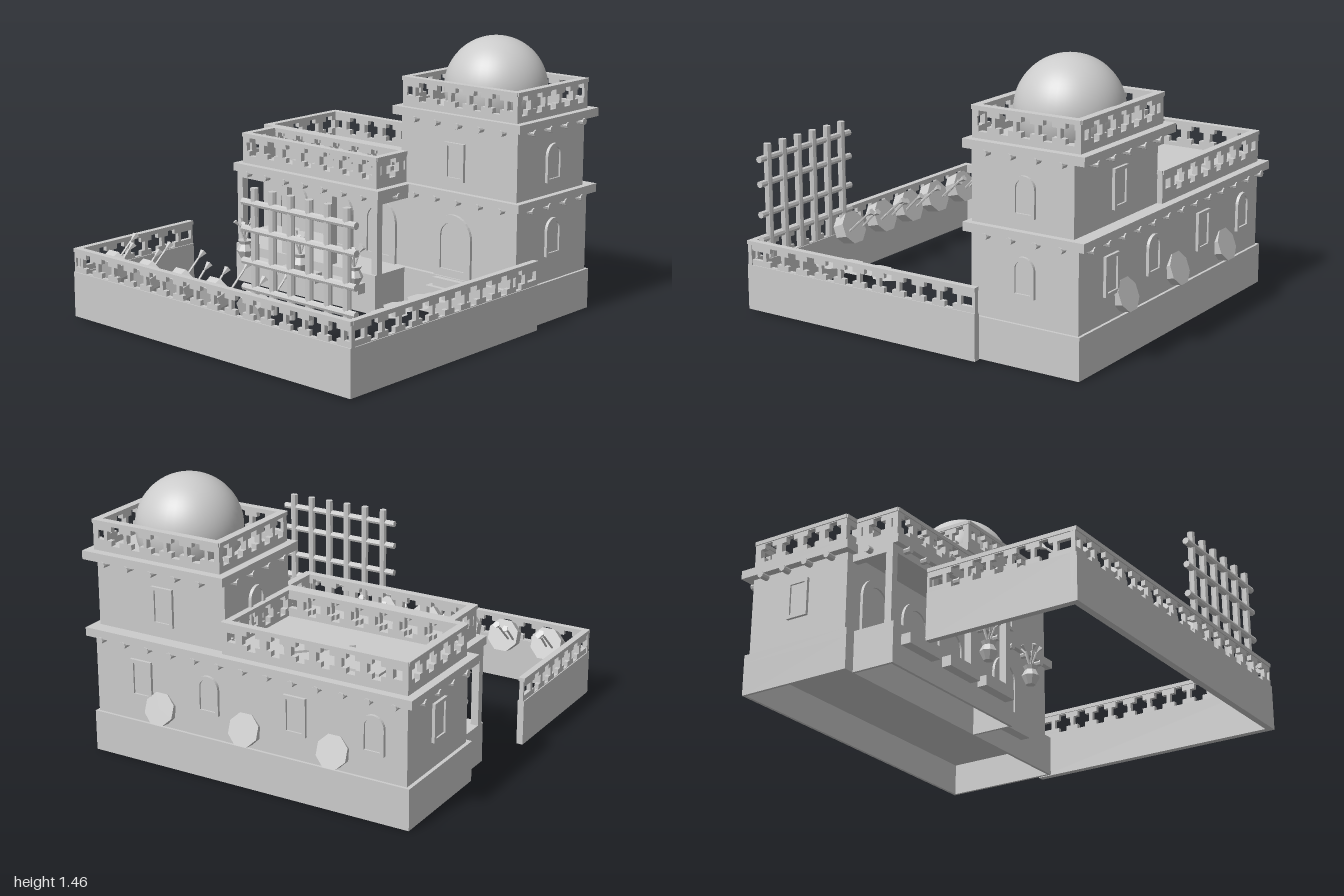
import * as THREE from 'three';

const mat = new THREE.MeshStandardMaterial({ color: 0xcccccc, flatShading: true });
const smooth = new THREE.MeshStandardMaterial({ color: 0xcccccc });

export function createModel() {
  const root = new THREE.Group();

  const add = (name, geo, x, y, z, parent = root, m = mat) => {
    const mesh = new THREE.Mesh(geo, m);
    mesh.name = name;
    mesh.position.set(x, y, z);
    parent.add(mesh);
    return mesh;
  };
  // box given by its limits
  const block = (name, x0, x1, y0, y1, z0, z1, parent) =>
    add(name, new THREE.BoxGeometry(x1 - x0, y1 - y0, z1 - z0),
      (x0 + x1) / 2, (y0 + y1) / 2, (z0 + z1) / 2, parent);
  // thin rod between two points
  const rod = (name, a, b, r, sides, parent) => {
    const p = new THREE.Vector3(...a), q = new THREE.Vector3(...b);
    const mid = p.clone().add(q).multiplyScalar(0.5);
    const mesh = add(name, new THREE.CylinderGeometry(r, r, p.distanceTo(q), sides), mid.x, mid.y, mid.z, parent);
    mesh.quaternion.setFromUnitVectors(new THREE.Vector3(0, 1, 0), q.sub(p).normalize());
  };

  // balustrade pierced by n crosses, with a slot at each end where there is room
  const crossGeometry = (len, h, t, n, pitch) => {
    const pts = list => list.map(p => new THREE.Vector2(...p));
    const s = new THREE.Shape(pts([[-len / 2, 0], [len / 2, 0], [len / 2, h], [-len / 2, h]]));
    const a = 0.05, b = 0.024, cy = h - 0.072;
    for (let i = 0; i < n; i++) {
      const cx = (i - (n - 1) / 2) * pitch;
      s.holes.push(new THREE.Path(pts([[-b, -a], [-b, -b], [-a, -b], [-a, b], [-b, b], [-b, a],
        [b, a], [b, b], [a, b], [a, -b], [b, -b], [b, -a]].map(([x, y]) => [cx + x, cy + y]))));
    }
    const start = (n + 1) / 2 * pitch - a, end = len / 2 - 0.012;
    if (end - start > 0.015)
      for (const k of [-1, 1])
        s.holes.push(new THREE.Path(pts([[k * start, cy - b], [k * start, cy + b], [k * end, cy + b], [k * end, cy - b]])));
    return new THREE.ExtrudeGeometry(s, { depth: t, bevelEnabled: false }).translate(0, 0, -t / 2);
  };
  const balustrade = (x0, z0, x1, z1, y, h, t, n, pitch, parent = root) => {
    const len = Math.hypot(x1 - x0, z1 - z0), g = new THREE.Group();
    g.name = 'balustrade';
    g.position.set((x0 + x1) / 2, y, (z0 + z1) / 2);
    g.rotation.y = Math.atan2(z0 - z1, x1 - x0);
    add('crossPanel', crossGeometry(len, h, t, n, pitch), 0, 0, 0, g);
    block('rail', -len / 2, len / 2, h - 0.018, h + 0.002, -t / 2 - 0.006, t / 2 + 0.006, g);
    parent.add(g);
  };
  const parapet = (name, x0, x1, z0, z1, y, h, nx, nz, pitch) => {
    const g = new THREE.Group(), t = 0.03, e = t / 2;
    g.name = name;
    root.add(g);
    for (const z of [z0 + e, z1 - e]) balustrade(x0, z, x1, z, y, h, t, nx, pitch, g);
    for (const x of [x0 + e, x1 - e]) balustrade(x, z0, x, z1, y, h, t, nz, pitch, g);
  };

  // doors and windows: frame with a recessed panel, rot turns them to their wall
  const outline = (C, w, h, arched) => {
    const s = new C(), r = w / 2;
    s.moveTo(-r, 0);
    s.lineTo(r, 0);
    if (arched) {
      s.lineTo(r, h - r);
      s.absarc(0, h - r, r, 0, Math.PI, false);
    } else {
      s.lineTo(r, h);
      s.lineTo(-r, h);
    }
    s.lineTo(-r, 0);
    return s;
  };
  const opening = (name, w, h, arched, f, x, y, z, rot) => {
    const g = new THREE.Group();
    g.name = name;
    g.position.set(x, y, z);
    g.rotation.y = rot;
    const frame = outline(THREE.Shape, w, h, arched);
    const hole = outline(THREE.Path, w - 2 * f, h - 2 * f, arched);
    frame.holes.push(new THREE.Path(hole.getPoints(8).map(p => p.add(new THREE.Vector2(0, f)))));
    const opt = d => ({ depth: d, bevelEnabled: false, curveSegments: 8 });
    add('frame', new THREE.ExtrudeGeometry(frame, opt(0.016)), 0, 0, 0, g);
    add('panel', new THREE.ExtrudeGeometry(outline(THREE.Shape, w - f, h - f, arched), opt(0.006)), 0, f / 2, 0, g);
    root.add(g);
  };

  // hollow plinths under the house and the porch
  block('plinthFloor', -0.93, 0.895, 0.17, 0.215, -0.96, -0.32);
  block('plinthBack', -0.93, 0.895, 0, 0.17, -0.96, -0.945);
  block('plinthFront', -0.93, 0.895, 0, 0.17, -0.335, -0.32);
  for (const x of [-0.93, 0.88]) block('plinthSide', x, x + 0.015, 0, 0.17, -0.945, -0.335);
  block('porchFloor', -0.87, 0.16, 0.17, 0.215, -0.32, -0.085);
  block('porchPlinthFront', -0.87, 0.16, 0, 0.17, -0.1, -0.085);
  for (const x of [-0.87, 0.145]) block('porchPlinthSide', x, x + 0.015, 0, 0.17, -0.32, -0.1);

  // walls, cornices, porch roof
  block('lowerWalls', -0.91, 0.88, 0.215, 0.63, -0.945, -0.345);
  block('towerWalls', 0.115, 0.875, 0.67, 1.04, -0.915, -0.345);
  block('lowerCornice', -0.955, 0.91, 0.63, 0.675, -0.99, -0.315);
  block('porchCornice', -0.87, 0.19, 0.63, 0.674, -0.33, -0.07);
  block('porchBeam', -0.87, 0.16, 0.59, 0.63, -0.14, -0.1);
  for (const x of [-0.87, 0.12]) block('porchSideBeam', x, x + 0.04, 0.59, 0.63, -0.345, -0.14);
  block('towerCornice', 0.075, 0.91, 1.035, 1.08, -0.99, -0.315);
  for (const x of [-0.85, -0.51, -0.18, 0.14]) block('porchPost', x - 0.02, x + 0.02, 0.215, 0.6, -0.14, -0.1);

  parapet('mainParapet', -0.91, 0.115, -0.945, -0.36, 0.675, 0.165, 6, 4, 0.138);
  parapet('porchParapet', -0.83, 0.15, -0.36, -0.105, 0.675, 0.165, 7, 1, 0.138);
  parapet('towerParapet', 0.12, 0.87, -0.945, -0.345, 1.08, 0.155, 5, 5, 0.12);

  // dome
  add('dome', new THREE.SphereGeometry(0.271, 40, 24, 0, Math.PI * 2, 0, 2.0), 0.497, 1.184, -0.65, root, smooth);

  // raised roof deck with a hatch and a mat
  block('roofDeck', -0.875, 0.115, 0.67, 0.7, -0.915, -0.39);
  block('roofHatch', -0.71, -0.545, 0.7, 0.712, -0.865, -0.68);
  add('roofMat', new THREE.BoxGeometry(0.335, 0.012, 0.17), -0.25, 0.706, -0.655).rotation.y = 0.8;

  // round beam ends under the cornices
  const beam = (a, b) => rod('beamEnd', a, b, 0.018, 8);
  for (let i = 0; i < 13; i++) {
    const x = -0.86 + i * 0.14;
    beam([x, 0.622, -0.9], [x, 0.622, -0.997]);
    if (i < 7) beam([x + 0.09, 0.622, -0.11], [x + 0.09, 0.622, -0.063]);
  }
  for (let i = 0; i < 5; i++) {
    const x = 0.22 + i * 0.142, z = -0.86 + i * 0.14;
    beam([x, 1.025, -0.36], [x, 1.025, -0.307]);
    beam([x, 1.025, -0.88], [x, 1.025, -0.997]);
    beam([x, 0.622, -0.36], [x, 0.622, -0.307]);
    if (i > 3) continue;
    beam([0.85, 0.622, z], [0.917, 0.622, z]);
    beam([0.85, 1.025, z], [0.917, 1.025, z]);
    beam([0.14, 1.025, z], [0.068, 1.025, z]);
    beam([-0.88, 0.622, z], [-0.962, 0.622, z]);
  }
  beam([0.14, 0.622, -0.235], [0.197, 0.622, -0.235]);
  beam([-0.83, 0.622, -0.235], [-0.905, 0.622, -0.235]);

  // doors with steps
  for (const x of [-0.68, -0.345, -0.035]) {
    opening('porchDoor', 0.24, 0.34, true, 0.04, x, 0.215, -0.345, 0);
    block('porchStep', x - 0.125, x + 0.125, 0.11, 0.165, -0.09, -0.03);
  }
  opening('towerDoor', 0.24, 0.335, true, 0.04, 0.475, 0.215, -0.345, 0);
  block('towerStep', 0.35, 0.6, 0.11, 0.165, -0.33, -0.265);
  block('towerStepUpper', 0.38, 0.57, 0.165, 0.21, -0.33, -0.29);

  // windows
  const H = Math.PI / 2;
  opening('frontWindow', 0.125, 0.2, false, 0.018, 0.48, 0.73, -0.345, 0);
  opening('rightWindow', 0.125, 0.2, true, 0.018, 0.88, 0.35, -0.645, H);
  opening('upperRightWindow', 0.125, 0.2, true, 0.018, 0.875, 0.74, -0.645, H);
  opening('upperLeftWindow', 0.125, 0.2, true, 0.018, 0.115, 0.74, -0.645, -H);
  opening('leftWindow', 0.125, 0.2, false, 0.018, -0.91, 0.35, -0.645, -H);
  opening('upperBackWindow', 0.125, 0.2, false, 0.018, 0.48, 0.74, -0.915, Math.PI);
  [0.6, 0.2, -0.3, -0.73].forEach((x, i) =>
    opening('backWindow', 0.125, 0.2, i % 2 === 1, 0.018, x, 0.345, -0.945, Math.PI));

  // garden wall
  block('gardenWallFront', -0.97, 0.965, 0.01, 0.25, 0.965, 1);
  block('gardenWallRight', 0.93, 0.965, 0.01, 0.25, -0.42, 0.965);
  block('gardenWallLeft', -0.97, -0.935, 0.01, 0.25, 0.18, 0.965);
  balustrade(-0.97, 0.982, 0.965, 0.982, 0.25, 0.125, 0.023, 15, 0.1215);
  balustrade(0.948, 0.982, 0.948, -0.42, 0.25, 0.125, 0.023, 10, 0.1215);
  balustrade(-0.953, 0.982, -0.953, 0.18, 0.25, 0.125, 0.023, 5, 0.1215);

  // trellis
  const trellis = new THREE.Group();
  trellis.name = 'trellis';
  root.add(trellis);
  for (let i = 0; i < 6; i++) {
    const x = 0.283 + i * 0.118;
    rod('upright', [x, 0.28, 0.922], [x, 0.88, 0.922], 0.02, 8, trellis);
  }
  for (const y of [0.805, 0.675, 0.515, 0.385]) rod('crossbar', [0.21, y, 0.927], [0.935, y, 0.927], 0.018, 8, trellis);

  // tilted tubs: three behind the house, five with stems along the front wall
  const tub = (x, y, z, r, t) => {
    add('tub', new THREE.CylinderGeometry(r, r * 0.85, t, 8).rotateY(Math.PI / 8), x, y, z).rotation.x = -1.22;
  };
  for (const x of [0.48, -0.02, -0.52]) tub(x, 0.308, -0.95, 0.088, 0.06);
  const stem = (x, z) => {
    const y = 0.39 - (z - 0.72) * 0.7;
    rod('stem', [x, 0.28, 0.87], [x, y, z + 0.03], 0.006, 5);
    const head = add('bloom', new THREE.ConeGeometry(0.019, 0.055, 5), x, y + 0.01, z + 0.015);
    head.rotation.x = -0.95 + Math.PI;
  };
  for (const [x, a, b] of [[-0.77, -0.04, -0.005], [-0.51, -0.035, -0.065], [-0.265, -0.035, 0.06],
    [-0.02, 0.045, -0.055], [0.255, 0.045, -0.07]]) {
    tub(x, 0.285, 0.905, 0.092, 0.08);
    stem(x + a, 0.715);
    stem(x + b, 0.765);
  }

  // potted plants before the porch
  const potProfile = [[0, 0], [0.025, 0], [0.048, 0.045], [0.03, 0.08], [0.04, 0.1], [0, 0.095]]
    .map(p => new THREE.Vector2(...p));
  for (const x of [-0.67, -0.255, 0.13]) {
    add('pot', new THREE.LatheGeometry(potProfile, 8), x, 0.19, 0.045);
    for (let i = 0; i < 5; i++) {
      const a = -H + i * Math.PI * 0.4, dx = Math.cos(a), dz = Math.sin(a);
      rod('plantStem', [x, 0.28, 0.045], [x + dx * 0.03, 0.37, 0.045 + dz * 0.03], 0.005, 5);
      const leaf = add('leaf', new THREE.ConeGeometry(0.014, 0.045, 4), x + dx * 0.04, 0.38, 0.045 + dz * 0.04);
      leaf.quaternion.setFromUnitVectors(new THREE.Vector3(0, -1, 0), new THREE.Vector3(dx, 1.2, dz).normalize());
    }
  }

  // flat round cushions, in a row by the right wall and another on the porch
  const cushion = new THREE.CircleGeometry(0.092, 8, Math.PI / 8).rotateX(-H);
  for (let i = 0; i < 5; i++) {
    const y = 0.29 + (i % 2) * 0.012;
    add('gardenCushion', cushion, 0.815, y, 0.2 + i * 0.09);
    add('porchCushion', cushion, -0.72 + i * 0.09, y, -0.22);
  }

  return root;
}
